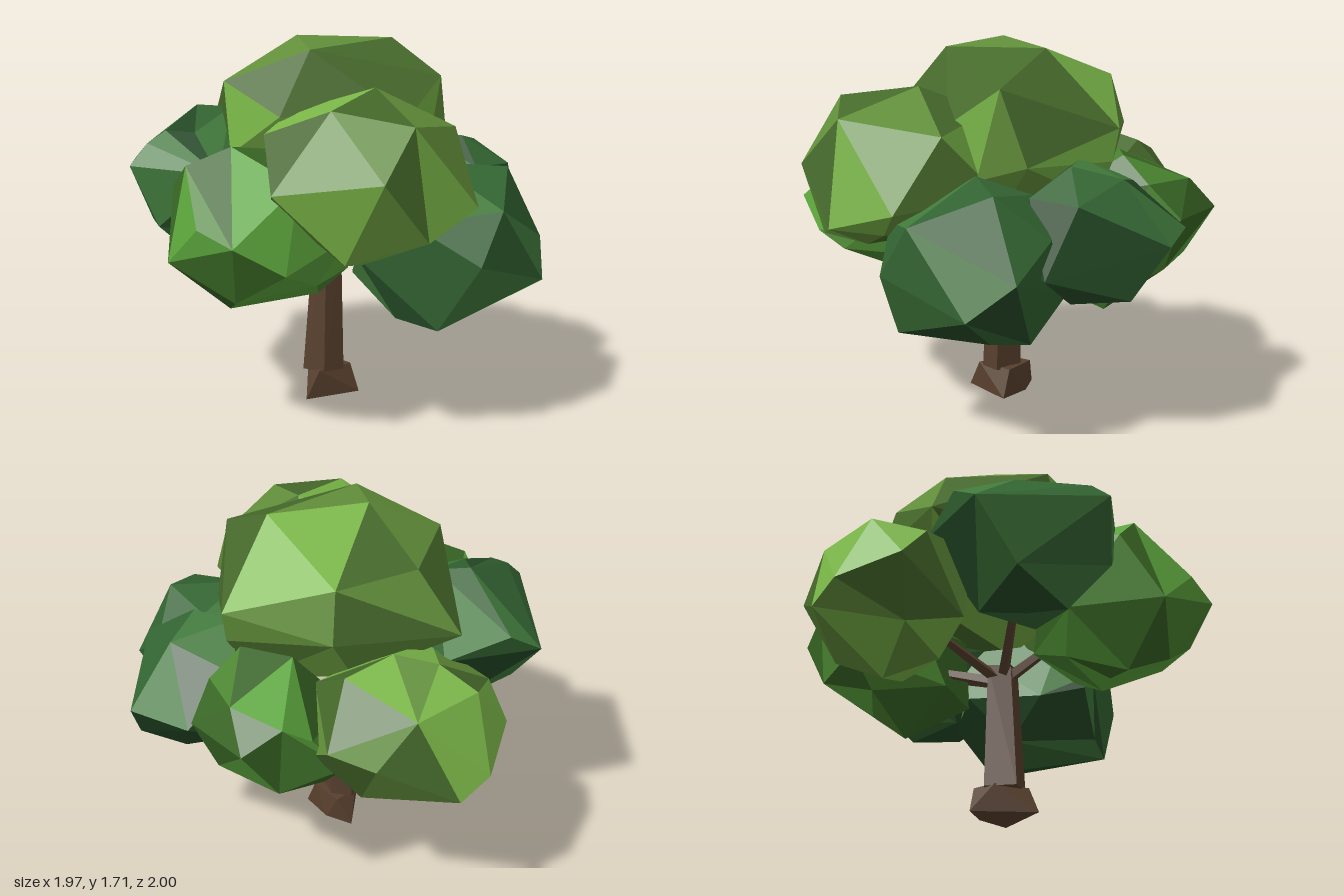
import * as THREE from 'three';
import { ConvexGeometry } from 'three/addons/geometries/ConvexGeometry.js';

const BARK = 0x573f2d;
const LIGHT = [0x7ab648, 0x628f3a, 0x466a2b];
const MID = [0x5ca63c, 0x4a8430, 0x386624];
const DARK = [0x417a3c, 0x336432, 0x244a26];

const flat = (color) => new THREE.MeshStandardMaterial({ color, flatShading: true, roughness: 1 });
const hull = (points) => new ConvexGeometry(points.map((p) => new THREE.Vector3(...p)));

// Small seeded generator
function seeded(seed) {
  let s = seed * 7919 + 17;
  return () => (s = (s * 16807) % 2147483647) / 2147483647;
}

// Faceted leaf clump: hull of a few corners, its facets shared out over three tones
function leafClump(name, tones, seed, corners) {
  const rand = seeded(seed);
  rand();
  const coords = hull(corners).getAttribute('position').array;
  const sorted = tones.map(() => []);
  for (let i = 0; i < coords.length; i += 9) {
    sorted[Math.floor(rand() * tones.length)].push(...coords.slice(i, i + 9));
  }
  const clump = new THREE.Group();
  clump.name = name;
  sorted.forEach((facets, i) => {
    if (!facets.length) return;
    const geo = new THREE.BufferGeometry();
    geo.setAttribute('position', new THREE.Float32BufferAttribute(facets, 3));
    geo.computeVertexNormals();
    const mesh = new THREE.Mesh(geo, flat(tones[i]));
    mesh.name = name + ['LightFacets', 'MiddleFacets', 'DarkFacets'][i];
    clump.add(mesh);
  });
  return clump;
}

// Wooden block between two level outlines of [x, z] corners
function woodBlock(name, y0, bottom, y1, top) {
  const level = (outline, y) => outline.map(([x, z]) => [x, y, z]);
  const mesh = new THREE.Mesh(hull([...level(bottom, y0), ...level(top, y1)]), flat(BARK));
  mesh.name = name;
  return mesh;
}

// Thin tapering branch from a to b
function branch(a, b) {
  const start = new THREE.Vector3(...a);
  const dir = new THREE.Vector3(...b).sub(start);
  const mesh = new THREE.Mesh(new THREE.CylinderGeometry(0.015, 0.03, dir.length(), 4), flat(BARK));
  mesh.position.copy(start).addScaledVector(dir, 0.5);
  mesh.quaternion.setFromUnitVectors(new THREE.Vector3(0, 1, 0), dir.normalize());
  mesh.name = 'branch';
  return mesh;
}

export function createModel() {
  const tree = new THREE.Group();
  tree.name = 'tree';

  // Flared foot and trunk
  tree.add(
    woodBlock('trunkFoot', 0, [[-0.185, 0.13], [0.09, 0.11], [0.04, -0.05], [-0.06, -0.15]],
      0.13, [[-0.115, 0.12], [0.065, 0.06], [0, -0.1], [-0.11, -0.05]]),
    woodBlock('trunk', 0.12, [[-0.165, 0.03], [-0.09, 0.115], [0.015, 0.1], [0.01, -0.04], [-0.08, -0.09]],
      0.72, [[-0.115, 0.03], [-0.07, 0.09], [0.01, 0.08], [0, -0.03], [-0.06, -0.06]])
  );

  // Branches reaching into the clumps
  const tips = [[0.35, 0.8, 0.4], [0.5, 0.87, -0.03], [-0.45, 0.9, 0.3], [-0.45, 1, -0.1], [-0.15, 0.85, -0.5], [0.3, 0.8, -0.3]];
  tips.forEach((tip) => tree.add(branch([-0.05, 0.65, 0.02], tip)));

  // Crown
  tree.add(
    leafClump('topLeaves', LIGHT, 1, [
      [-0.16, 1.71, -0.05], [0.29, 1.69, 0.01], [-0.2, 1.67, 0.24], [0.4, 1.54, 0.32], [0.56, 1.35, -0.2],
      [-0.53, 1.52, 0.01], [0.13, 1.53, -0.47], [-0.27, 1.53, -0.39], [0.16, 1.3, -0.53], [-0.43, 1.25, -0.53],
      [0.18, 1.37, 0.45], [-0.39, 1.4, 0.38], [0.48, 1.2, 0.23], [-0.53, 1.2, 0.1], [0.3, 1.13, 0.38],
      [-0.3, 1.15, 0.4], [0.54, 1.2, -0.18], [0.4, 1.0, -0.2], [0.3, 0.98, 0.25], [-0.3, 0.98, 0.25],
      [-0.35, 1.02, -0.25], [0, 1.0, -0.33]]),
    leafClump('frontLeaves', LIGHT, 2, [
      [-0.16, 1.2, 1.0], [0.05, 0.94, 0.975], [0.005, 1.525, 0.5], [-0.29, 1.47, 0.74], [-0.55, 1.135, 0.74],
      [-0.5, 1.35, 0.5], [0.015, 1.41, 0.9], [0.35, 1.35, 0.58], [0.35, 1.035, 0.82], [0.19, 0.915, 0.78],
      [-0.27, 0.845, 0.85], [-0.13, 0.8, 0.7], [0.1, 1.4, 0.2], [-0.3, 1.4, 0.25], [0.28, 1.05, 0.25],
      [-0.42, 1.0, 0.35], [0, 0.85, 0.3]]),
    leafClump('frontLeftLeaves', DARK, 3, [
      [0.83, 0.8, 0.51], [0.65, 1.14, 0.51], [0.47, 1.01, 0.82], [0.34, 0.785, 0.88], [0.74, 0.65, 0.7],
      [0.6, 0.45, 0.29], [0.56, 0.47, 0.47], [0.21, 0.475, 0.73], [0.07, 0.51, 0.59], [-0.08, 0.78, 0.5],
      [-0.08, 0.7, 0.45], [0.33, 1.16, 0.4], [0.77, 0.95, 0.3], [0.2, 0.475, 0.2], [0.1, 0.95, 0.7],
      [0.55, 1.1, 0.25], [0, 0.65, 0.25], [0.6, 0.65, 0.1], [0.3, 0.7, 0.02], [0.4, 1.0, 0.05], [0.05, 1.0, 0.4]]),
    leafClump('leftLeaves', DARK, 4, [
      [0.985, 0.905, -0.16], [0.925, 0.68, 0], [0.78, 0.92, -0.41], [0.77, 1.17, -0.07], [0.62, 1.22, 0.1],
      [0.48, 1.22, -0.05], [0.82, 1.09, 0.2], [0.78, 0.78, 0.34], [0.6, 1.1, 0.3], [0.74, 0.65, 0.18],
      [0.75, 0.7, -0.2], [0.5, 0.65, 0.05], [0.53, 1.1, -0.32], [0.5, 0.8, -0.35], [0.33, 1.0, 0.15],
      [0.3, 0.9, -0.15], [0.45, 0.8, 0.3]]),
    leafClump('rightLeaves', DARK, 5, [
      [-0.98, 1.17, 0.06], [-0.89, 1.26, 0.02], [-0.8, 1.31, 0], [-0.6, 1.39, -0.2], [-0.83, 1.1, -0.515],
      [-0.665, 1.2, -0.535], [-0.36, 1.12, -0.52], [-0.645, 1.15, 0.3], [-0.87, 0.9, 0.12], [-0.68, 1.3, 0.05],
      [-0.7, 0.74, 0], [-0.6, 0.73, -0.15], [-0.48, 0.75, -0.32], [-0.45, 1.38, -0.15], [-0.35, 0.8, 0.05],
      [-0.3, 1.1, -0.3], [-0.35, 1.1, 0.1], [-0.8, 0.84, -0.3]]),
    leafClump('frontRightLeaves', MID, 6, [
      [-0.895, 0.8, 0.37], [-0.82, 0.98, 0.575], [-0.72, 0.93, 0.755], [-0.5, 0.8, 0.775], [-0.345, 0.735, 0.72],
      [-0.615, 0.56, 0.35], [-0.45, 0.585, 0.36], [-0.24, 0.62, 0.45], [-0.08, 0.71, 0.4], [-0.82, 1.1, 0.2],
      [-0.79, 1.2, 0.3], [-0.6, 1.28, 0.35], [-0.4, 1.25, 0.3], [-0.4, 1.15, 0.65], [-0.5, 0.62, 0.1],
      [-0.7, 0.75, 0], [-0.3, 0.7, 0.05], [-0.15, 1.0, 0.2], [-0.15, 0.9, 0.6], [-0.6, 1.1, -0.05], [-0.65, 0.64, 0.55]]),
    leafClump('backLeaves', LIGHT, 7, [
      [-0.26, 0.72, -1.0], [-0.41, 0.8, -0.96], [-0.58, 0.9, -0.73], [-0.54, 1.05, -0.6], [0.095, 0.9, -0.92],
      [0.27, 0.95, -0.8], [0.29, 0.85, -0.65], [-0.09, 1.1, -0.9], [-0.4, 1.13, -0.8], [-0.275, 1.21, -0.66],
      [0.14, 1.2, -0.63], [-0.1, 1.24, -0.57], [-0.1, 0.53, -0.6], [0.1, 0.65, -0.75], [-0.45, 0.65, -0.65],
      [-0.5, 0.7, -0.4], [-0.32, 0.57, -0.43], [0.15, 0.65, -0.4], [0, 1.0, -0.25], [-0.38, 1.1, -0.3], [0.2, 1.05, -0.4]]),
    leafClump('backLeftLeaves', MID, 8, [
      [0.44, 1.05, -0.715], [0.62, 0.95, -0.715], [0.3, 0.95, -0.69], [0.76, 0.95, -0.4], [0.5, 1.215, -0.27],
      [0.3, 1.2, -0.4], [0.33, 0.445, -0.3], [0.35, 0.535, -0.46], [0.45, 0.7, -0.68], [0.14, 0.75, -0.66],
      [0.2, 0.6, -0.53], [0.65, 0.7, -0.4], [0.6, 0.6, -0.15], [0.2, 0.6, -0.03], [0.1, 0.65, -0.2],
      [0.05, 0.9, -0.35], [0.65, 1.1, -0.3], [0.3, 1.0, 0], [0.62, 1.1, -0.55]])
  );
  return tree;
}
